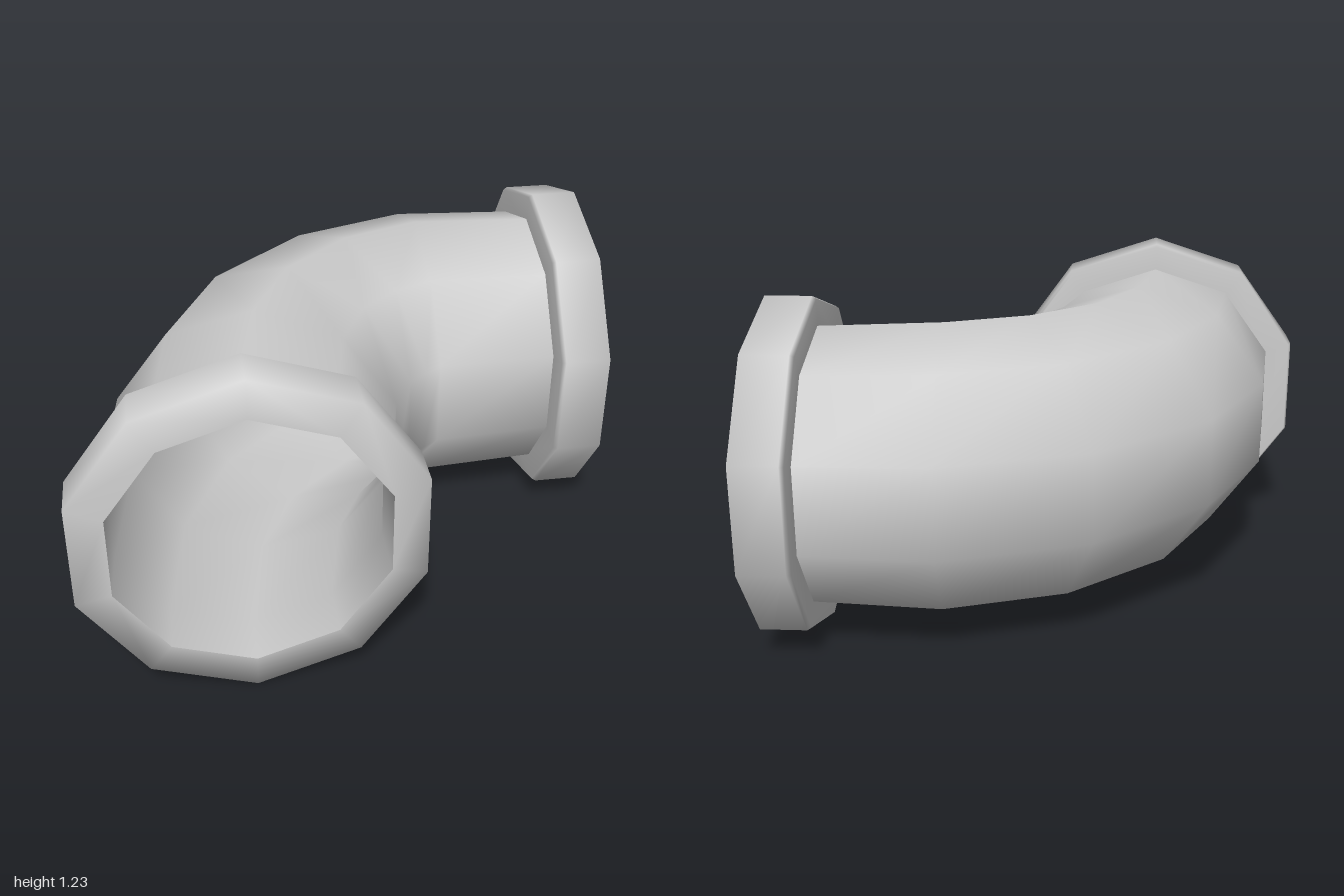
import * as THREE from 'three';

const SIDES = 10;
const AXIS_Y = 0.62;
const FLAT = Math.cos(Math.PI / SIDES); // across-flats ratio of the decagon

// Cross-sections of the elbow: outer bend [x, z], inner bend [x, z], half height
const SECTIONS = [
  [-0.895, 0.73, 0.07, 0.73, 0.51],
  [-0.83, 0.21, 0.15, 0.39, 0.528],
  [-0.6, -0.275, 0.23, 0.25, 0.53],
  [-0.18, -0.66, 0.3, 0.2, 0.53],
  [0.34, -0.84, 0.36, 0.16, 0.528],
  [0.8, -0.825, 0.8, 0.14, 0.51],
];

// Skin of decagonal rings through the sections, smooth shaded
function loft(sections, scale, inward) {
  const pos = [], index = [];
  sections.forEach(([ox, oz, ix, iz, h, fixed]) => {
    const s = fixed ? 1 : scale;
    const cx = (ox + ix) / 2, cz = (oz + iz) / 2;
    const ux = (ix - ox) / 2 / FLAT * s, uz = (iz - oz) / 2 / FLAT * s;
    for (let i = 0; i < SIDES; i++) {
      const a = i / SIDES * Math.PI * 2;
      pos.push(cx + ux * Math.sin(a), AXIS_Y + h * s * Math.cos(a), cz + uz * Math.sin(a));
    }
  });
  for (let r = 0; r < sections.length - 1; r++) {
    for (let i = 0; i < SIDES; i++) {
      const a = r * SIDES + i, b = r * SIDES + (i + 1) % SIDES;
      const c = b + SIDES, d = a + SIDES;
      if (inward) index.push(a, d, b, b, d, c);
      else index.push(a, b, d, b, c, d);
    }
  }
  const geo = new THREE.BufferGeometry();
  geo.setAttribute('position', new THREE.Float32BufferAttribute(pos, 3));
  geo.setIndex(index);
  geo.computeVertexNormals();
  return geo;
}

// Collar running along +z, ending at z = 0 with a sloping front face
function flangeGeometry(depth) {
  const profile = [
    [0.48, -depth], [0.605, -depth], [0.615, -depth + 0.015],
    [0.615, -0.017], [0.485, 0],
  ].map(([r, y]) => new THREE.Vector2(r, y));
  return new THREE.LatheGeometry(profile, SIDES).rotateX(Math.PI / 2);
}

export function createModel() {
  const model = new THREE.Group();
  model.name = 'pipeElbow';
  const material = new THREE.MeshStandardMaterial({ color: 0xcccccc });
  const add = (name, geo) => {
    const mesh = new THREE.Mesh(geo, material);
    mesh.name = name;
    model.add(mesh);
    return mesh;
  };

  // Outer skin of the bend
  add('elbowPipe', loft(SECTIONS, 1, false));

  // Inner wall, reaching the lip of each flange
  const w = 0.485 * FLAT;
  const bore = [
    [-0.415 - w, 0.917, -0.415 + w, 0.917, 0.485, true],
    ...SECTIONS,
    [1, -0.335 - w, 1, -0.335 + w, 0.485, true],
  ];
  add('bore', loft(bore, 0.945, true));

  // Flanges at the two mouths
  add('frontFlange', flangeGeometry(0.195)).position.set(-0.415, AXIS_Y, 0.917);
  const side = add('sideFlange', flangeGeometry(0.2));
  side.rotation.y = Math.PI / 2;
  side.position.set(1, AXIS_Y, -0.335);

  return model;
}
